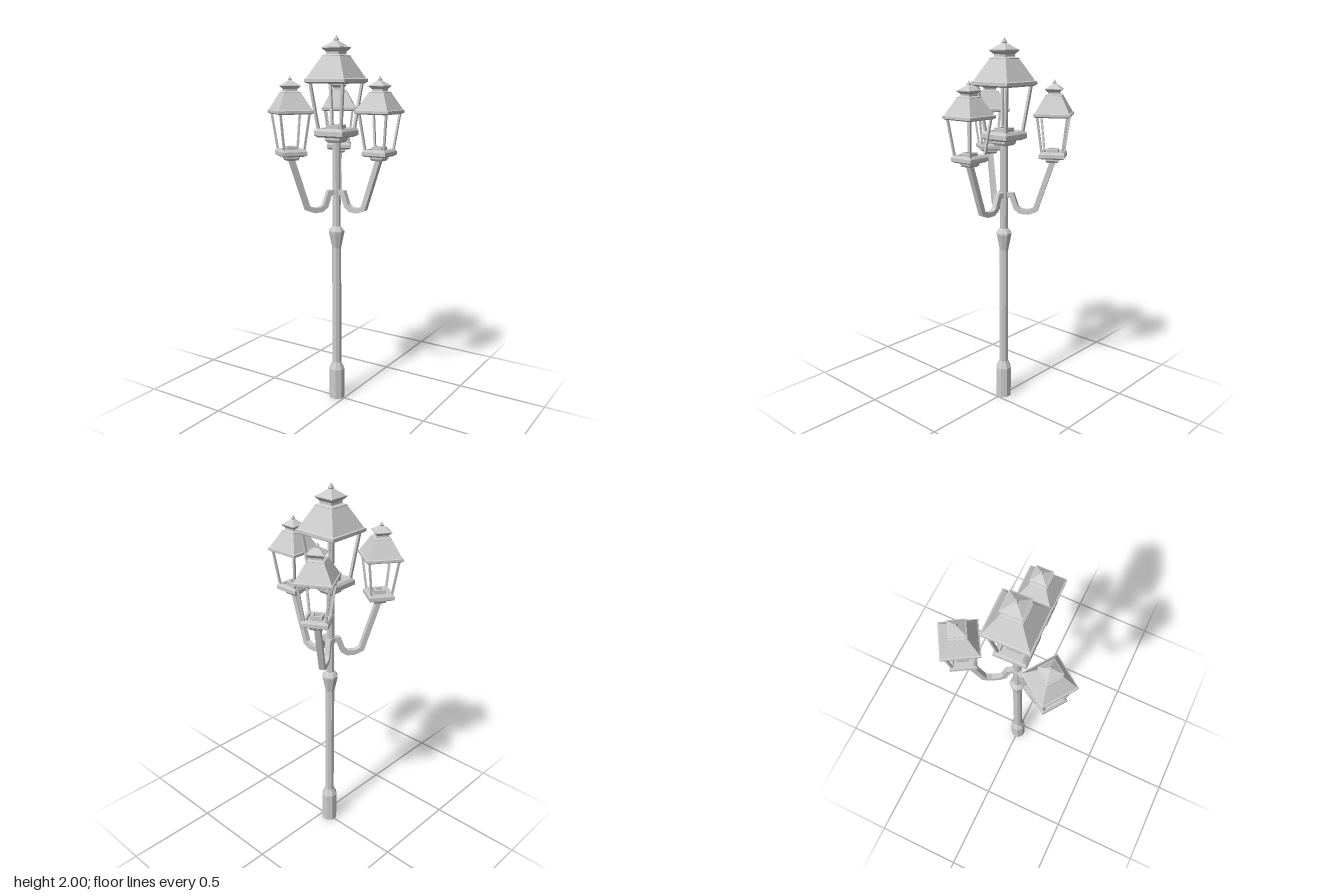
import * as THREE from 'three';

const mat = new THREE.MeshStandardMaterial({ color: 0xcccccc, flatShading: true, side: THREE.DoubleSide });

function add(parent, name, geometry) {
  const mesh = new THREE.Mesh(geometry, mat);
  mesh.name = name;
  parent.add(mesh);
  return mesh;
}

const toPoints = (list) => list.map(([a, b]) => new THREE.Vector2(a, b));

// Four-sided solid from a profile of [half width, height]
function squareLathe(profile) {
  const points = toPoints(profile.map(([w, y]) => [w * Math.SQRT2, y]));
  return new THREE.LatheGeometry(points, 4).rotateY(Math.PI / 4);
}

// Square bar leaning along its length, from a to b
function leaningBar(a, b, size) {
  const g = new THREE.BoxGeometry(size, b.y - a.y, size);
  const p = g.attributes.position;
  for (let i = 0; i < p.count; i++) {
    const end = p.getY(i) < 0 ? a : b;
    p.setXYZ(i, p.getX(i) + end.x, end.y, p.getZ(i) + end.z);
  }
  return g;
}

// Flat strip of even thickness following a path in x and y, extruded in z
function stripGeometry(path, thickness, width) {
  const pts = toPoints(path);
  const normal = (a, b) => new THREE.Vector2(a.y - b.y, b.x - a.x).normalize();
  const upper = [], lower = [];
  pts.forEach((p, i) => {
    const n0 = normal(pts[Math.max(i - 1, 0)], pts[Math.max(i, 1)]);
    const last = pts.length - 1;
    const n1 = normal(pts[Math.min(i, last - 1)], pts[Math.min(i + 1, last)]);
    const n = n0.clone().add(n1).normalize();
    n.multiplyScalar(thickness / 2 / n.dot(n0));
    upper.push(p.clone().add(n));
    lower.unshift(p.clone().sub(n));
  });
  const shape = new THREE.Shape([...upper, ...lower]);
  return new THREE.ExtrudeGeometry(shape, { depth: width, bevelEnabled: false }).translate(0, 0, -width / 2);
}

function createLantern(name) {
  const lantern = new THREE.Group();
  lantern.name = name;

  // Stepped tray on a flared neck
  add(lantern, 'lanternBase', squareLathe([
    [0, -0.028], [0.036, -0.028], [0.045, -0.014], [0.045, 0], [0.07, 0], [0.086, 0.01],
    [0.086, 0.033], [0.077, 0.047], [0.06, 0.047], [0.056, 0.034], [0, 0.034],
  ]));
  add(lantern, 'burner', squareLathe([
    [0.037, 0.034], [0.037, 0.064], [0.022, 0.064], [0.022, 0.04], [0, 0.04],
  ]));

  // Corner bars
  for (const sx of [-1, 1]) for (const sz of [-1, 1]) {
    add(lantern, 'cornerBar', leaningBar(
      new THREE.Vector3(sx * 0.069, 0.044, sz * 0.069),
      new THREE.Vector3(sx * 0.098, 0.28, sz * 0.098), 0.014));
  }

  // Roof with eaves, then neck, cap and finial
  add(lantern, 'roof', squareLathe([
    [0, 0.276], [0.107, 0.276], [0.121, 0.284], [0.121, 0.3], [0.113, 0.304],
    [0.055, 0.413], [0.055, 0.417], [0.038, 0.424], [0, 0.424],
  ]));
  add(lantern, 'cap', squareLathe([
    [0.038, 0.424], [0.038, 0.436], [0.055, 0.454], [0.055, 0.459], [0.049, 0.461], [0.01, 0.491], [0, 0.491],
  ]));
  add(lantern, 'finial', squareLathe([[0.007, 0.488], [0.011, 0.496], [0, 0.52]]));
  return lantern;
}

export function createModel() {
  const model = new THREE.Group();
  model.name = 'streetLamp';
  const lamp = new THREE.Group();
  lamp.name = 'lampAssembly';
  lamp.position.x = -0.048;
  model.add(lamp);

  // Octagonal post with plinth and collar
  const post = [
    [0, 0], [0.044, 0], [0.044, 0.175], [0.026, 0.215], [0.025, 0.88],
    [0.043, 0.967], [0.043, 0.975], [0.03, 0.993], [0.022, 1.0], [0.022, 1.46], [0, 1.46],
  ];
  add(lamp, 'post', new THREE.LatheGeometry(toPoints(post), 8).rotateY(Math.PI / 8));
  add(lamp, 'armCollar', new THREE.CylinderGeometry(0.027, 0.027, 0.03, 8).rotateY(Math.PI / 8).translate(0, 1.185, 0));

  // Top lantern
  const top = createLantern('topLantern');
  top.position.y = 1.48;
  top.rotation.y = THREE.MathUtils.degToRad(1.5);
  lamp.add(top);

  // Three curved arms, each with a smaller lantern
  const armPath = [[0.01, 1.187], [0.044, 1.186], [0.068, 1.118], [0.092, 1.1], [0.135, 1.098], [0.172, 1.113], [0.26, 1.378]];
  const arms = [
    { angle: 0, turn: 1.5 },
    { angle: 119.5, turn: 1.4 },
    { angle: -120.5, turn: -4.9 },
  ];
  for (const { angle, turn } of arms) {
    const side = new THREE.Group();
    side.name = 'sideArm';
    side.rotation.y = THREE.MathUtils.degToRad(angle);
    add(side, 'arm', stripGeometry(armPath, 0.027, 0.029));
    const lantern = createLantern('sideLantern');
    lantern.scale.setScalar(0.775);
    lantern.position.set(0.26, 1.393, 0);
    lantern.rotation.y = THREE.MathUtils.degToRad(turn);
    side.add(lantern);
    lamp.add(side);
  }
  return model;
}
